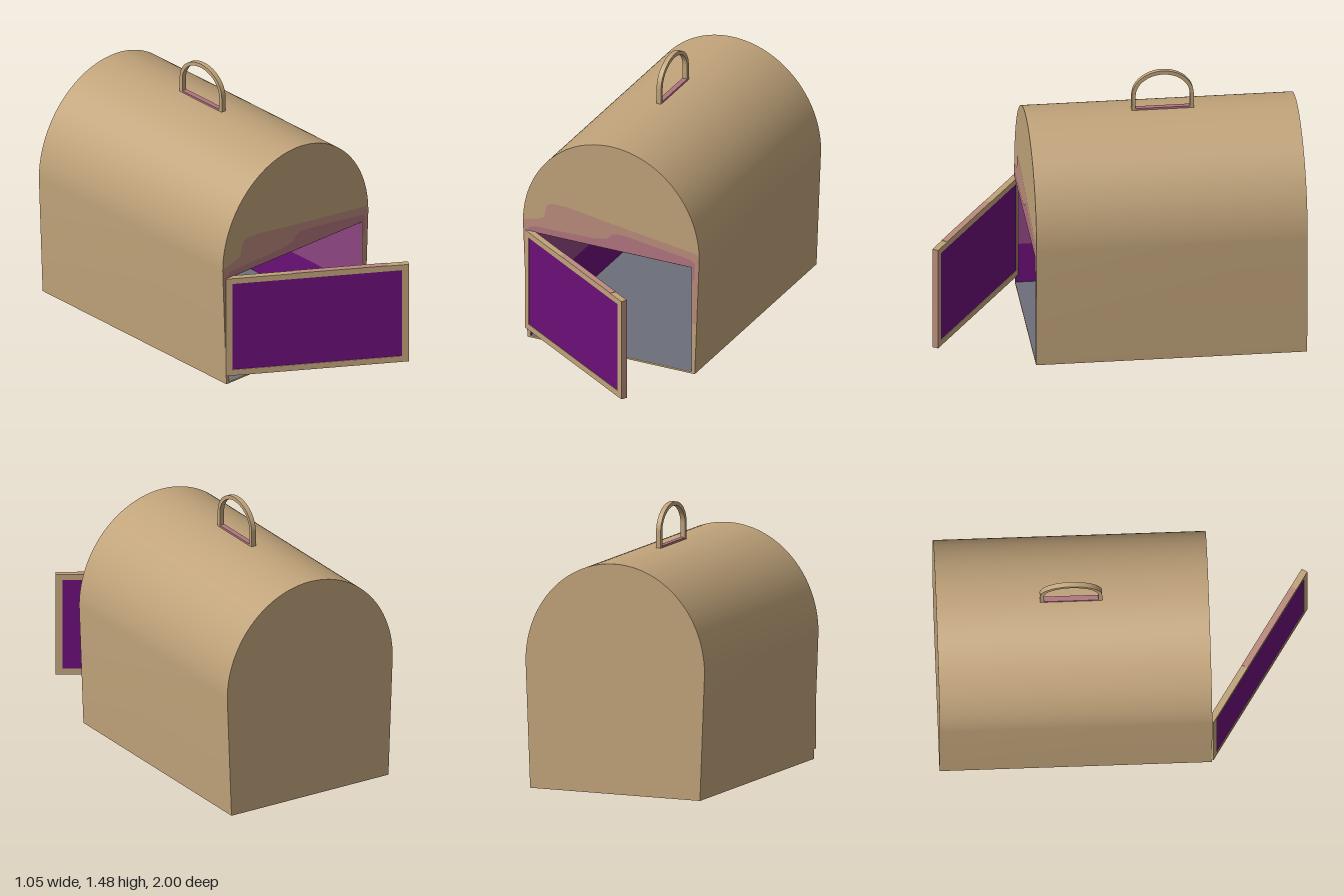
import * as THREE from 'three';
import { toCreasedNormals } from 'three/addons/utils/BufferGeometryUtils.js';

const material = (name, color, side = THREE.FrontSide) => {
  const m = new THREE.MeshStandardMaterial({ color, side });
  m.name = name;
  return m;
};

export function createModel() {
  const model = new THREE.Group();
  model.name = 'archedHouse';

  const tan = material('tan', 0xc0a37a);
  const rose = material('rose', 0xba8b7c);
  const darkRose = material('darkRose', 0xb0747f);
  const purple = material('purple', 0x6b0f78, THREE.DoubleSide);
  const mauve = material('mauve', 0x8c4680, THREE.DoubleSide);
  const slate = material('slate', 0x6c6f7b, THREE.DoubleSide);

  const add = (parent, name, geometry, mat, x = 0, y = 0, z = 0) => {
    const mesh = new THREE.Mesh(geometry, mat);
    mesh.name = name;
    mesh.position.set(x, y, z);
    parent.add(mesh);
    return mesh;
  };
  const extrude = (shape, depth) => toCreasedNormals(
    new THREE.ExtrudeGeometry(shape, { depth, bevelEnabled: false, curveSegments: 40 }), 0.5);
  const polygon = (points) => new THREE.Shape(points.map(([x, y]) => new THREE.Vector2(x, y)));
  const rectangle = (Type, x0, y0, x1, y1) => new Type(
    [[x0, y0], [x1, y0], [x1, y1], [x0, y1]].map(([x, y]) => new THREE.Vector2(x, y)));

  // Arched body, tapering slightly towards the base
  const outline = () => {
    const s = new THREE.Shape();
    s.moveTo(-0.5, 0);
    s.lineTo(0.5, 0);
    s.lineTo(0.527, 0.69);
    s.absellipse(0, 0.69, 0.527, 0.56, 0, Math.PI, false);
    s.lineTo(-0.5, 0);
    return s;
  };
  const W = 0.482, FLOOR = 0.01, TOP = 0.635, SPLIT = 0.24, FRONT = 0.46, BACK = -0.98;
  const shell = outline();
  shell.holes.push(rectangle(THREE.Path, -W, FLOOR, W, TOP));
  add(model, 'body', extrude(shell, FRONT - BACK), tan, 0, 0, BACK);
  add(model, 'backWall', extrude(outline(), 0.02), tan, 0, 0, -1);

  // Interior lining: slate floor, purple lower walls, mauve upper walls
  const inset = 0.002, depth = FRONT - BACK - 0.004, midZ = (FRONT + BACK) / 2;
  const horizontal = () => new THREE.PlaneGeometry(2 * W, depth).rotateX(-Math.PI / 2);
  add(model, 'innerFloor', horizontal(), slate, 0, FLOOR + inset, midZ);
  add(model, 'innerCeiling', horizontal(), mauve, 0, TOP - inset, midZ);
  for (const [label, y0, y1, mat] of [['Lower', FLOOR, SPLIT, purple], ['Upper', SPLIT, TOP, mauve]]) {
    const h = y1 - y0, y = (y0 + y1) / 2;
    add(model, `inner${label}Back`, new THREE.PlaneGeometry(2 * W, h), mat, 0, y, BACK + inset);
    for (const side of [-1, 1]) {
      add(model, `inner${label}Side`, new THREE.PlaneGeometry(depth, h).rotateY(-side * Math.PI / 2),
        mat, side * (W - inset), y, midZ);
    }
  }

  // Painted bands above and beside the doorway
  const lightBand = polygon([
    [-0.484, 0.35], [-0.484, 0.637], [0.484, 0.637], [0.484, 0.3], [0.511, 0.3], [0.526, 0.69],
    [0.515, 0.72], [0, 0.79], [-0.27, 0.83], [-0.36, 0.83], [-0.385, 0.81], [-0.4, 0.74],
    [-0.43, 0.725], [-0.526, 0.7], [-0.513, 0.35],
  ]);
  const darkBand = polygon([
    [-0.5, 0.637], [0.484, 0.637], [0.484, 0.55], [0.5, 0.57], [0.503, 0.66], [0.48, 0.68],
    [0.1, 0.733], [0.03, 0.735], [0, 0.72], [-0.02, 0.695], [-0.1, 0.68], [-0.46, 0.673], [-0.49, 0.66],
  ]);
  add(model, 'lightFrontBand', new THREE.ShapeGeometry(lightBand), rose, 0, 0, FRONT + 0.0015);
  add(model, 'darkFrontBand', new THREE.ShapeGeometry(darkBand), darkRose, 0, 0, FRONT + 0.003);

  // Open door: frame, panel on both sides, painted edges
  const door = new THREE.Group();
  door.name = 'door';
  door.position.set(-0.51, 0, 0.467);
  door.rotation.y = -0.565;
  model.add(door);
  const L = 0.993, T = 0.035, Y0 = 0.055, Y1 = 0.64;
  const frame = rectangle(THREE.Shape, 0, Y0, L, Y1);
  frame.holes.push(rectangle(THREE.Path, 0.036, 0.09, L - 0.036, 0.608));
  add(door, 'doorFrame', extrude(frame, T), tan, 0, 0, -T);
  add(door, 'doorPanel', new THREE.BoxGeometry(L - 0.072, 0.518, T - 0.006), purple, L / 2, 0.349, -T / 2);
  add(door, 'doorEndPaint', new THREE.BoxGeometry(0.002, Y1 - Y0, T), rose, L + 0.001, (Y0 + Y1) / 2, -T / 2);
  add(door, 'doorTopPaint', new THREE.BoxGeometry(0.52, 0.002, T), rose, 0.62, Y1 + 0.001, -T / 2);

  // Carrying handle: arched loop with a thin base bar
  const arch = (Type, r, spring, rise, base) => {
    const p = new Type();
    p.moveTo(-r, base);
    p.lineTo(r, base);
    p.lineTo(r, spring);
    p.absellipse(0, spring, r, rise, 0, Math.PI, false);
    p.lineTo(-r, base);
    return p;
  };
  const loop = arch(THREE.Shape, 0.167, 0.085, 0.142, -0.005);
  loop.holes.push(arch(THREE.Path, 0.146, 0.085, 0.121, 0.01));
  const handle = new THREE.Group();
  handle.name = 'handle';
  handle.position.set(0, 1.249, -0.278);
  handle.rotation.y = Math.PI / 2;
  model.add(handle);
  add(handle, 'handleLoop', extrude(loop, 0.027), tan, 0, 0, -0.0135);
  add(handle, 'handleBase', new THREE.BoxGeometry(0.294, 0.012, 0.029), darkRose, 0, 0.005, 0);

  return model;
}
